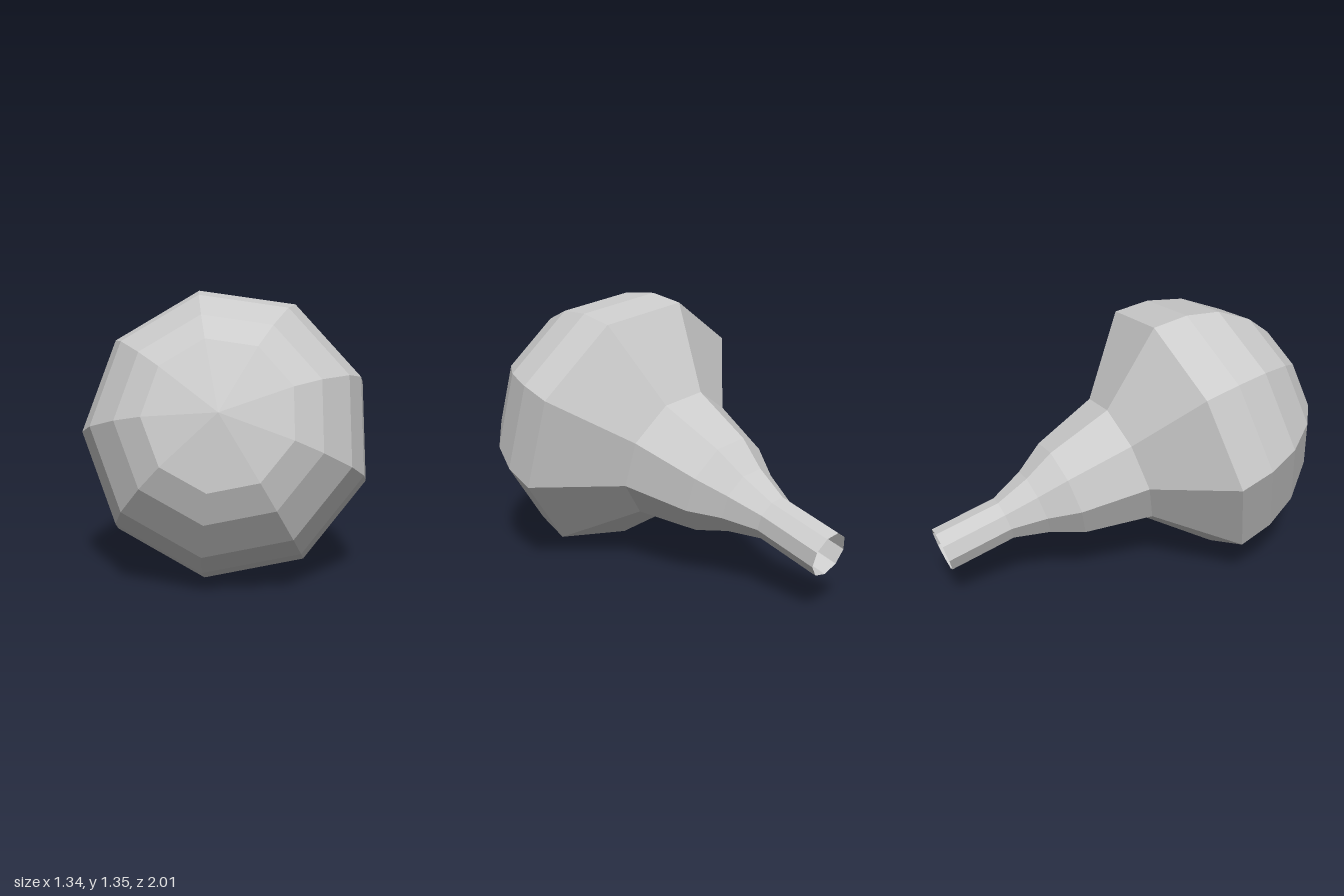
import * as THREE from 'three';

// Profile along the axis: [radius, distance from the widest ring]
const NECK = [[0.113, -1.34], [0.113, -1.0], [0.174, -0.825], [0.259, -0.67], [0.347, -0.33], [0.695, 0]];
const DOME = [[0.695, 0], [0.675, 0.184], [0.608, 0.36], [0.472, 0.53], [0.34, 0.628], [0, 0.706]];
const SIDES = 9;

export function createModel() {
  const group = new THREE.Group();
  group.name = 'bulb';
  const material = new THREE.MeshStandardMaterial({
    color: 0xcccccc, flatShading: true, side: THREE.DoubleSide,
  });

  // Nine-sided turned shell, one corner pointing to -x
  const addShell = (name, profile) => {
    const points = profile.map(([r, s]) => new THREE.Vector2(r, s));
    const mesh = new THREE.Mesh(new THREE.LatheGeometry(points, SIDES, -Math.PI / 2), material);
    mesh.name = name;
    group.add(mesh);
  };
  addShell('neck', NECK); // open at the thin end
  addShell('dome', DOME);

  // Lean the axis forward and slightly upward
  const axis = new THREE.Vector3(-0.106, 0.283, 0.953).normalize();
  const up = axis.clone().cross(new THREE.Vector3(1, 0, 0)).normalize();
  const side = up.clone().cross(axis);
  group.quaternion.setFromRotationMatrix(new THREE.Matrix4().makeBasis(side, axis, up.negate()));
  group.position.set(0.018, 0.66, 0.31);

  const model = new THREE.Group();
  model.add(group);
  return model;
}
